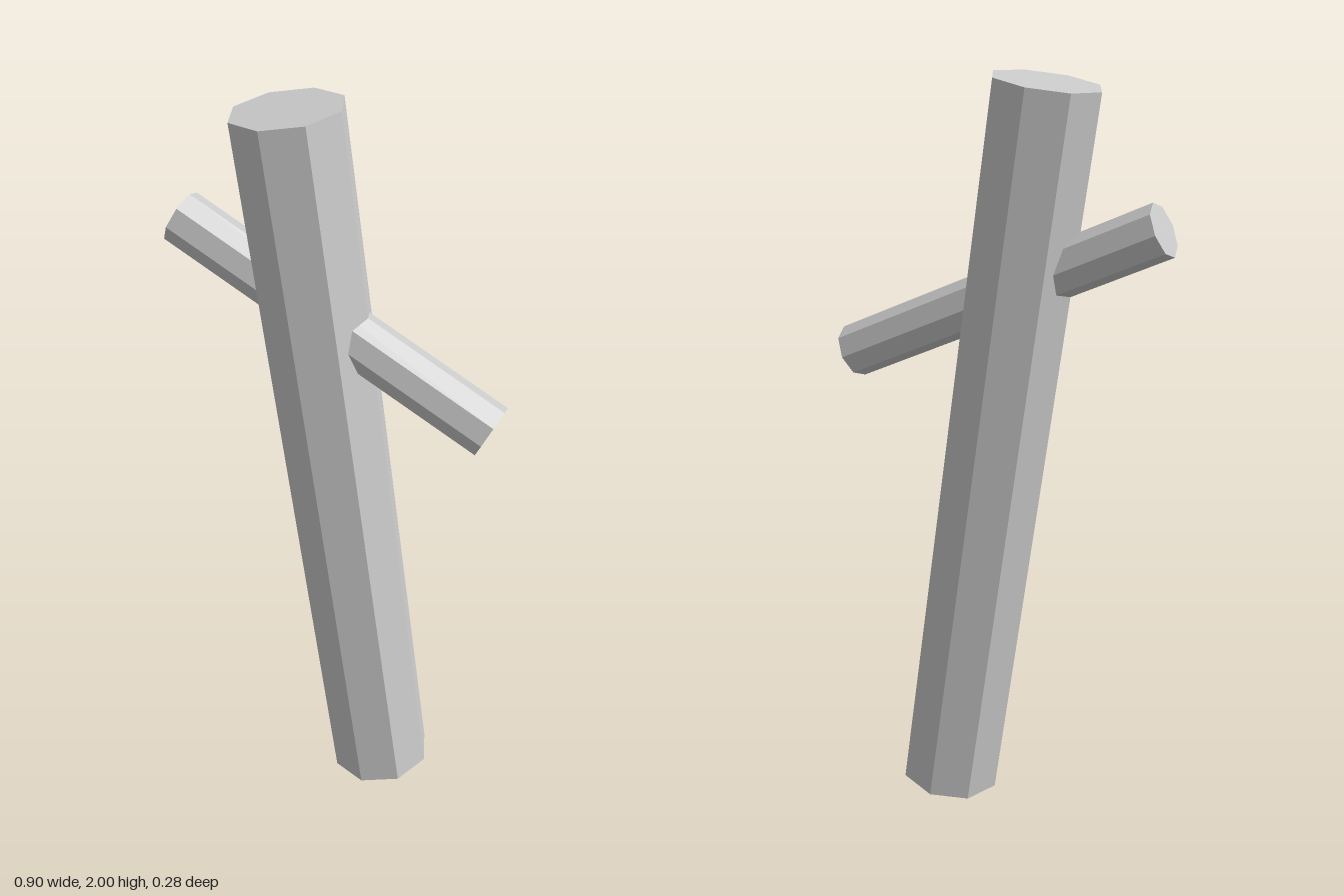
import * as THREE from 'three';

export function createModel() {
  const group = new THREE.Group();
  const material = new THREE.MeshStandardMaterial({ color: 0xcccccc, flatShading: true });

  // Eight-sided log leaning in the x-y plane; lean in degrees towards -x
  const addLog = (name, radius, length, x, y, lean) => {
    const mesh = new THREE.Mesh(new THREE.CylinderGeometry(radius, radius, length, 8), material);
    mesh.name = name;
    mesh.position.set(x, y, 0);
    mesh.rotation.z = THREE.MathUtils.degToRad(lean);
    group.add(mesh);
  };

  // Leaning main post
  addLog('post', 0.14, 1.98, 0.017, 1.0, 8);
  // Thin peg running through the post
  addLog('crossPeg', 0.07, 0.932, 0, 1.453, 65);

  return group;
}
